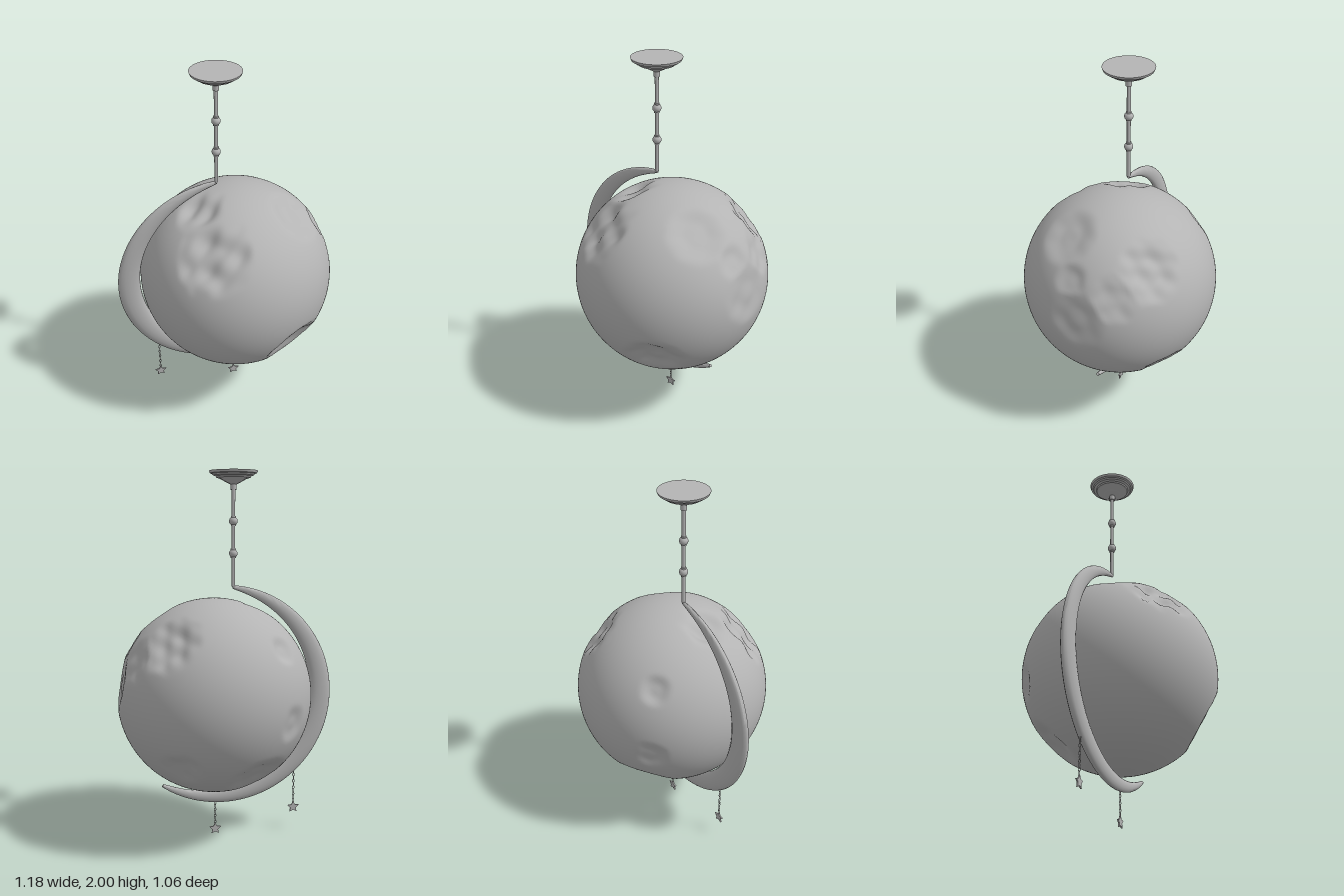
import * as THREE from 'three';
import { mergeVertices, toCreasedNormals } from 'three/addons/utils/BufferGeometryUtils.js';

const ROD_X = -0.045;

export function createModel() {
  const model = new THREE.Group();
  model.name = 'moonPendantLamp';
  const grey = new THREE.MeshStandardMaterial({ color: 0xb4b4b4 });
  grey.name = 'plainGrey';

  const add = (name, geometry, x = 0, y = 0, z = 0, parent = model) => {
    const mesh = new THREE.Mesh(geometry, grey);
    mesh.name = name;
    mesh.position.set(x, y, z);
    parent.add(mesh);
    return mesh;
  };

  // Cratered globe
  add('globe', globeGeometry(0.528), 0.06, 0.806, 0);

  // Crescent hugging the globe
  add('crescent', crescentGeometry());

  // Stepped ceiling canopy
  const profile = [[0, 1.928], [0.018, 1.93], [0.045, 1.944], [0.07, 1.958], [0.09, 1.964],
    [0.094, 1.972], [0.108, 1.976], [0.113, 1.984], [0.124, 1.987], [0.129, 2], [0, 2]];
  const lathe = new THREE.LatheGeometry(profile.map(([r, y]) => new THREE.Vector2(r, y)), 40);
  add('ceilingCanopy', toCreasedNormals(lathe, 0.5), ROD_X, 0, 0);

  // Hanging rod with its socket and beads
  add('rod', new THREE.CylinderGeometry(0.01, 0.01, 0.54, 16), ROD_X, 1.665, 0);
  add('rodSocket', new THREE.CylinderGeometry(0.016, 0.016, 0.032, 16), ROD_X, 1.918, 0);
  for (const y of [1.74, 1.57]) {
    add('rodBead', new THREE.SphereGeometry(0.023, 20, 14), ROD_X, y, 0);
    add('beadCollar', new THREE.CylinderGeometry(0.014, 0.014, 0.05, 16), ROD_X, y, 0);
  }

  // Stars on fine chains
  for (const [x, top, starY] of [[-0.395, 0.35, 0.13], [0.057, 0.19, 0.032]]) {
    const charm = new THREE.Group();
    charm.name = 'starCharm';
    charm.position.x = x;
    model.add(charm);
    const bottom = starY + 0.03;
    const count = Math.round((top - bottom) / 0.019);
    const step = (top - bottom) / count;
    for (let i = 0; i < count; i++) {
      const link = add('chainLink', new THREE.TorusGeometry(0.0055, 0.0016, 6, 12),
        0, bottom + step * (i + 0.5), 0, charm);
      link.scale.y = 1.75;
      link.rotation.y = i % 2 ? Math.PI / 2 : 0;
    }
    add('star', starGeometry(0.034, 0.017), 0, starY, 0, charm);
  }
  return model;
}

// Sphere pressed in by craters: direction, angular radius, depth, roughness
function globeGeometry(radius) {
  const craters = [
    [0.42, -0.49, 0.77, 0.36, 0.05, 0.1],
    [0.98, 0.17, 0, 0.34, 0.022, 0.1],
    [0.54, 0.79, 0.28, 0.33, 0.026, 0.1],
    [-0.4, 0.66, 0.64, 0.4, 0.032, 0.5],
    [-0.4, 0.88, 0.12, 0.28, 0.028, 0.5],
    [0.52, 0.62, -0.58, 0.34, 0.032, 0.3],
    [-0.58, 0.54, -0.61, 0.17, 0.02, 0.2],
    [-0.66, -0.16, -0.73, 0.2, 0.016, 0.2],
    [-0.32, -0.74, -0.58, 0.35, 0.036, 0.1],
    [0.83, 0.44, -0.35, 0.26, 0.02, 0.3],
    [0.42, -0.58, -0.68, 0.25, 0.016, 0.3],
    [0.84, 0.53, 0.1, 0.2, 0.014, 0.3],
  ].map(([x, y, z, ...rest]) => [new THREE.Vector3(x, y, z).normalize(), ...rest]);

  let geometry = new THREE.IcosahedronGeometry(1, 36);
  geometry.deleteAttribute('uv');
  geometry.deleteAttribute('normal');
  geometry = mergeVertices(geometry, 1e-5);
  const position = geometry.attributes.position;
  const p = new THREE.Vector3();
  for (let i = 0; i < position.count; i++) {
    p.fromBufferAttribute(position, i).normalize();
    const noise = Math.sin(17 * p.x + 5 * p.z) * Math.sin(19 * p.y - 7 * p.x) * Math.cos(15 * p.z + 3 * p.y);
    let dent = 0;
    for (const [direction, size, depth, rough] of craters) {
      const edge = size * (1 + 0.4 * rough * noise);
      const fall = 1 - THREE.MathUtils.smoothstep(p.angleTo(direction), edge * 0.3, edge);
      dent = Math.max(dent, depth * fall * (1 + rough * noise));
    }
    p.multiplyScalar(radius - dent);
    position.setXYZ(i, p.x, p.y, p.z);
  }
  geometry.computeVertexNormals();
  return geometry;
}

// Oval sections swept along an arc, swelling in the middle
function crescentGeometry() {
  const rings = 72, sides = 16;
  const vertices = [], indices = [];
  for (let i = 0; i <= rings; i++) {
    const t = i / rings;
    const swell = Math.pow(Math.sin(Math.PI * t), 0.8);
    const angle = THREE.MathUtils.degToRad(96.5 + 206.5 * t);
    const halfWidth = 0.009 + 0.054 * swell;
    const halfDepth = 0.008 + 0.02 * swell;
    const middle = 0.604 + 0.02 * swell - halfWidth;
    for (let j = 0; j < sides; j++) {
      const a = (j / sides) * Math.PI * 2;
      const r = middle + halfWidth * Math.cos(a);
      vertices.push(0.025 + r * Math.cos(angle), 0.8 + r * Math.sin(angle), halfDepth * Math.sin(a));
    }
  }
  for (let i = 0; i < rings; i++) {
    for (let j = 0; j < sides; j++) {
      const a = i * sides + j, b = i * sides + (j + 1) % sides;
      indices.push(a, a + sides, b, b, a + sides, b + sides);
    }
  }
  // End caps
  const last = rings * sides;
  for (let j = 1; j < sides - 1; j++) {
    indices.push(0, j, j + 1, last, last + j + 1, last + j);
  }
  // Orient faces outward: signed volume must be positive
  let volume = 0;
  const [a, b, c] = [new THREE.Vector3(), new THREE.Vector3(), new THREE.Vector3()];
  for (let i = 0; i < indices.length; i += 3) {
    a.fromArray(vertices, indices[i] * 3);
    b.fromArray(vertices, indices[i + 1] * 3);
    c.fromArray(vertices, indices[i + 2] * 3);
    volume += a.dot(b.cross(c));
  }
  if (volume < 0) indices.reverse();
  const geometry = new THREE.BufferGeometry();
  geometry.setAttribute('position', new THREE.Float32BufferAttribute(vertices, 3));
  geometry.setIndex(indices);
  return toCreasedNormals(geometry, 0.9);
}

// Thin five-pointed star
function starGeometry(outer, inner) {
  const points = [];
  for (let i = 0; i < 10; i++) {
    const r = i % 2 ? inner : outer;
    const a = Math.PI / 2 + (i * Math.PI) / 5;
    points.push(new THREE.Vector2(r * Math.cos(a), r * Math.sin(a)));
  }
  const geometry = new THREE.ExtrudeGeometry(new THREE.Shape(points), { depth: 0.008, bevelEnabled: false });
  return geometry.translate(0, 0, -0.004);
}
